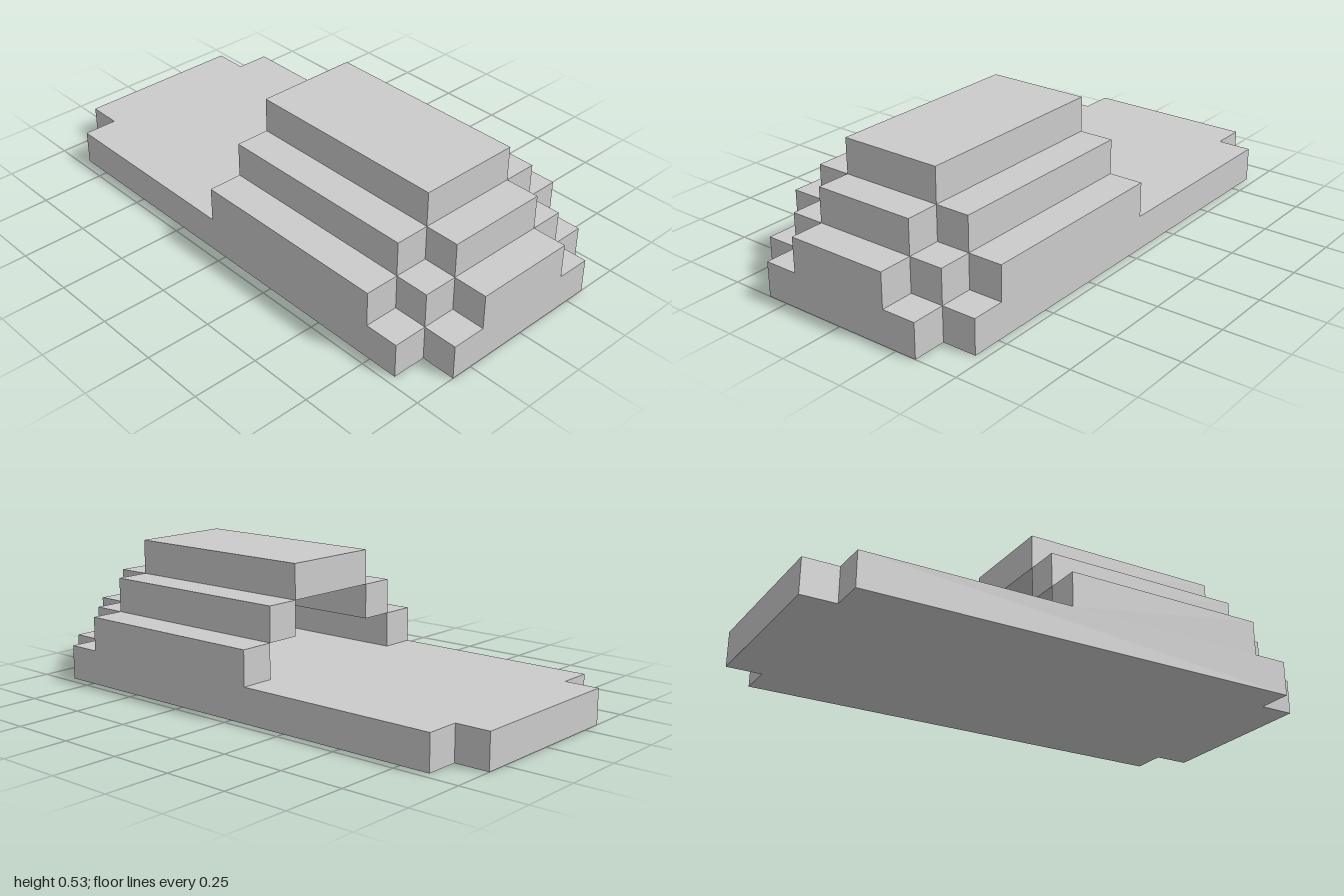
import * as THREE from 'three';

const U = 2 / 15; // one block
const material = new THREE.MeshStandardMaterial({ color: 0xcccccc, flatShading: true });

// Box from block ranges [min, max] on each axis
function block(name, [x0, x1], [y0, y1], [z0, z1]) {
  const geometry = new THREE.BoxGeometry((x1 - x0) * U, (y1 - y0) * U, (z1 - z0) * U);
  const mesh = new THREE.Mesh(geometry, material);
  mesh.name = name;
  mesh.position.set((x0 + x1) * U / 2, (y0 + y1) * U / 2, (z0 + z1) * U / 2);
  return mesh;
}

// Flat sole: a rectangle with one block missing at each corner
function createSole() {
  const corner = [[3.5, 6.5], [2.5, 6.5], [2.5, 7.5]];
  const flip = (pts, sx, sy) => pts.map(([x, y]) => [x * sx, y * sy]);
  const back = [...corner].reverse();
  const outline = [
    ...corner, ...flip(back, -1, 1), ...flip(corner, -1, -1), ...flip(back, 1, -1),
  ].map(([x, y]) => new THREE.Vector2(x * U, y * U));
  const geometry = new THREE.ExtrudeGeometry(new THREE.Shape(outline), { depth: U, bevelEnabled: false });
  geometry.rotateX(-Math.PI / 2);
  const mesh = new THREE.Mesh(geometry, material);
  mesh.name = 'sole';
  return mesh;
}

export function createModel() {
  const model = new THREE.Group();
  model.name = 'steppedSlipper';
  model.add(createSole());

  // Hollow stepped cover over the front half, open towards the back
  const length = [-0.5, 5.5];
  const middle = [-1.5, 1.5];
  model.add(block('coverTop', middle, [3, 4], length));
  model.add(block('toeUpper', middle, [2, 3], [5.5, 6.5]));
  model.add(block('toeLower', middle, [1, 2], [6.5, 7.5]));

  // Mirrored side steps and toe corners
  for (const [side, s] of [['left', 1], ['right', -1]]) {
    const span = (a, b) => (s > 0 ? [a, b] : [-b, -a]);
    model.add(block(side + 'LowerWall', span(2.5, 3.5), [1, 2], length));
    model.add(block(side + 'UpperWall', span(1.5, 2.5), [2, 3], length));
    model.add(block(side + 'ToeCorner', span(1.5, 2.5), [1, 2], [5.5, 6.5]));
  }
  return model;
}
